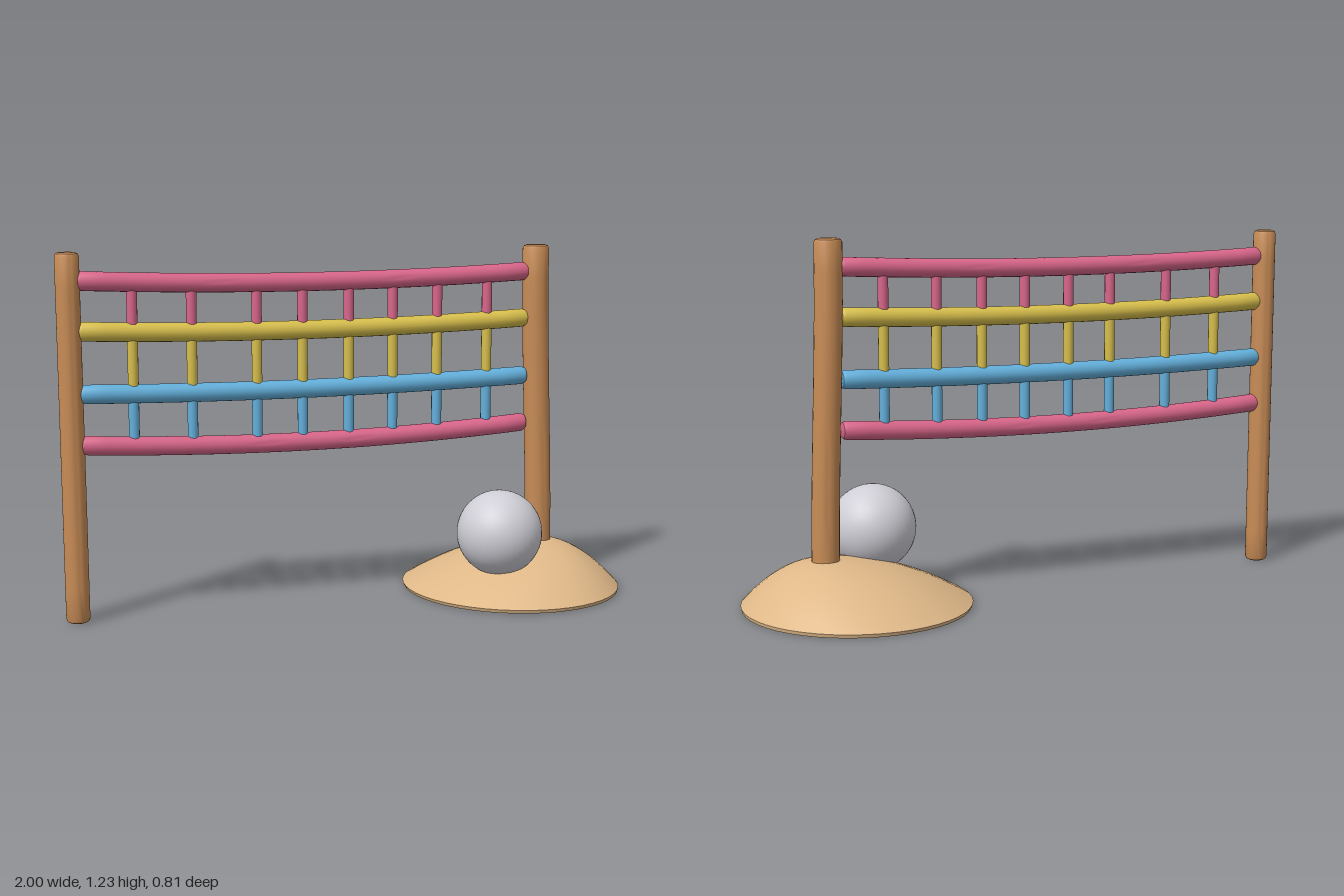
import * as THREE from 'three';
import { toCreasedNormals } from 'three/addons/utils/BufferGeometryUtils.js';

const mat = (name, color) => new THREE.MeshStandardMaterial({ name, color });

// Solid rod along y with bevelled ends
function rodGeometry(radius, length, bevel, rows = 12, sides = 24) {
  const pts = [[0, 0], [radius - bevel, 0], [radius - bevel * 0.3, bevel * 0.3]];
  for (let i = 0; i <= rows; i++) pts.push([radius, bevel + (length - 2 * bevel) * i / rows]);
  pts.push([radius - bevel * 0.3, length - bevel * 0.3], [radius - bevel, length], [0, length]);
  return new THREE.LatheGeometry(pts.map(p => new THREE.Vector2(...p)), sides);
}

// Move every vertex by a rule, then rebuild the normals
function bend(geometry, rule) {
  const pos = geometry.attributes.position;
  const v = new THREE.Vector3();
  for (let i = 0; i < pos.count; i++) {
    rule(v.fromBufferAttribute(pos, i));
    pos.setXYZ(i, v.x, v.y, v.z);
  }
  return toCreasedNormals(geometry, 0.7);
}

export function createModel() {
  const group = new THREE.Group();
  const wood = mat('wood', 0xc88c56);
  const sand = mat('sand', 0xdfb888);
  const grey = mat('ballGrey', 0xcfced6);
  const pink = mat('pink', 0xd9668a);
  const yellow = mat('yellow', 0xd8bf4c);
  const blue = mat('blue', 0x64b0dc);

  const add = (name, geometry, material, x = 0, y = 0, z = 0, parent = group) => {
    const mesh = new THREE.Mesh(geometry, material);
    mesh.name = name;
    mesh.position.set(x, y, z);
    parent.add(mesh);
    return mesh;
  };

  // Posts, each leaning slightly as it rises
  add('rightPost', bend(rodGeometry(0.04, 1.23, 0.014), v => { v.x -= 0.006 * v.y; }), wood, -0.957);
  add('leftPost', bend(rodGeometry(0.047, 1.23, 0.014), v => {
    v.x -= 0.027 * THREE.MathUtils.smoothstep(v.y, 0.1, 1.2);
    v.z *= 0.94;
  }), wood, 0.721);

  // Sand mound: dome whose peak is shifted towards the post
  const profile = [[0, 0], [0.5, 0], [0.99, 0], [1, 0.012]];
  for (let i = 11; i >= 0; i--) {
    const t = i / 12;
    profile.push([t, 0.012 + 0.153 * (1 - t * t)]);
  }
  const dome = new THREE.LatheGeometry(profile.map(p => new THREE.Vector2(...p)), 48);
  add('sandMound', bend(dome, v => {
    const t = Math.hypot(v.x, v.z);
    v.x = v.x * 0.3875 + 0.12 * (1 - t);
    v.z *= 0.404;
  }), sand, 0.6125);

  add('ball', new THREE.SphereGeometry(0.15, 40, 28), grey, 0.508, 0.23, 0.138);

  // Net: sagging rails
  const net = new THREE.Group();
  net.name = 'net';
  group.add(net);
  const x0 = -0.94, x1 = 0.66, mid = (x0 + x1) / 2, half = (x1 - x0) / 2;
  const rails = [
    { name: 'topRail', y: 1.117, sag: 0.02, material: pink },
    { name: 'upperRail', y: 0.954, sag: 0.018, material: yellow },
    { name: 'lowerRail', y: 0.752, sag: 0.014, material: blue },
    { name: 'bottomRail', y: 0.569, sag: 0.028, material: pink },
  ];
  const railY = (rail, x) => rail.y + rail.sag * ((x - mid) / half) ** 2;
  for (const rail of rails) {
    const geometry = rodGeometry(0.032, x1 - x0, 0.016, 20, 20).rotateZ(-Math.PI / 2);
    add(rail.name, bend(geometry, v => {
      v.x += x0;
      v.y += railY(rail, v.x);
    }), rail.material, 0, 0, 0, net);
  }

  // Net: short uprights, coloured by the rail they hang from
  for (const x of [-0.755, -0.556, -0.332, -0.171, -0.005, 0.155, 0.32, 0.508]) {
    for (let i = 0; i < 3; i++) {
      const top = railY(rails[i], x), bottom = railY(rails[i + 1], x);
      add('netUpright', new THREE.CylinderGeometry(0.018, 0.018, top - bottom, 12),
        rails[i].material, x, (top + bottom) / 2, 0, net);
    }
  }
  return group;
}
